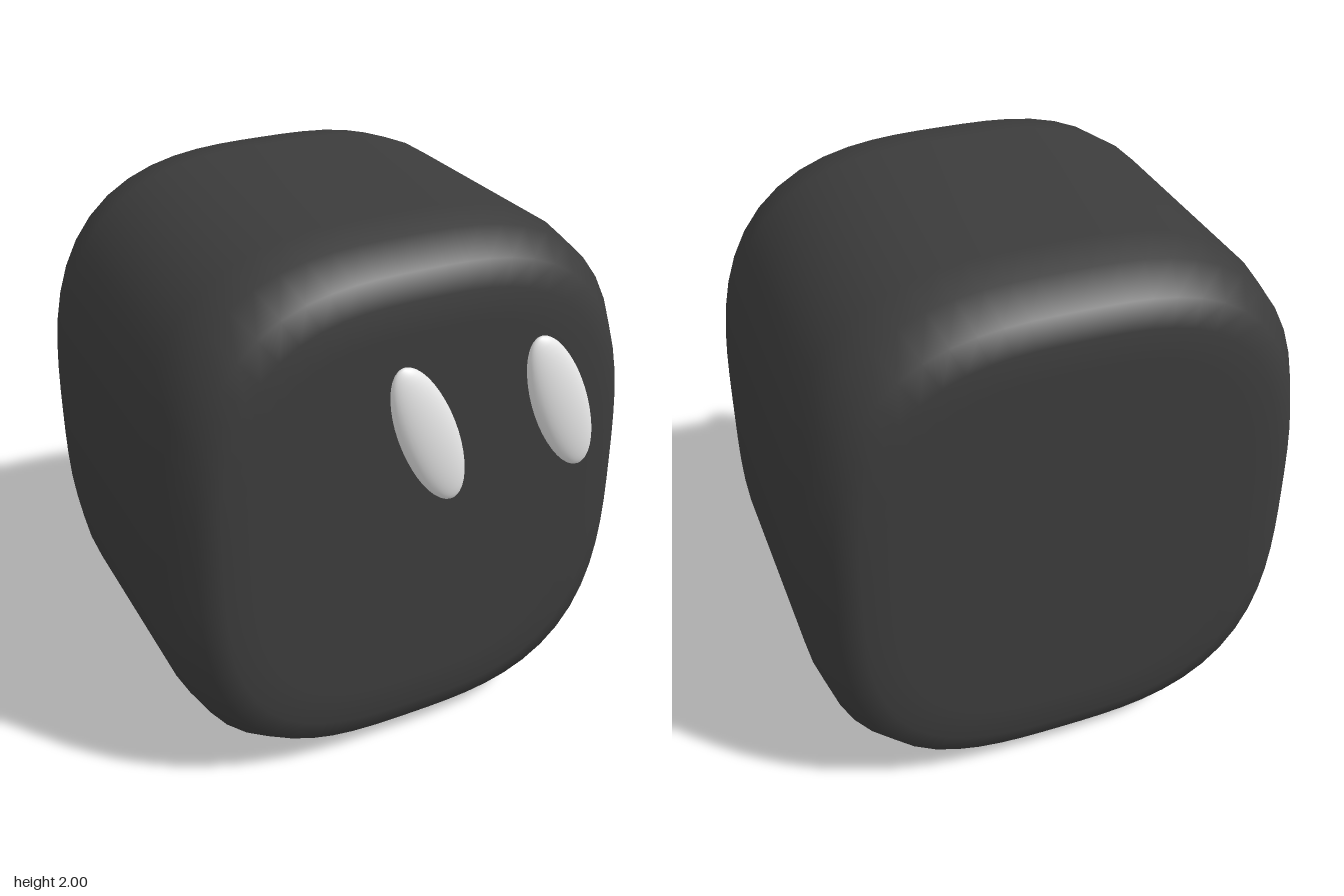
import * as THREE from 'three';

// Closed lofted block: superellipse rings stacked along z, smooth normals.
function loftBody(rings, segments, power) {
  const pos = [], idx = [];
  const signedPow = (v) => Math.sign(v) * Math.pow(Math.abs(v), 2 / power);
  for (const [z, s] of rings) {
    for (let i = 0; i < segments; i++) {
      const a = (i / segments) * Math.PI * 2;
      // direction first, then radius, so points are spread evenly
      const c = Math.cos(a), d = Math.sin(a);
      const r = Math.pow(Math.abs(c) ** power + Math.abs(d) ** power, -1 / power);
      pos.push(0.9 * s * r * c, 1 + s * r * d, z);
    }
  }
  const n = rings.length;
  for (let k = 0; k < n - 1; k++) {
    for (let i = 0; i < segments; i++) {
      const j = (i + 1) % segments;
      const a = k * segments + i, b = k * segments + j;
      const c = a + segments, d = b + segments;
      idx.push(a, c, b, b, c, d);
    }
  }
  // end caps
  const front = pos.length / 3;
  pos.push(0, 1, rings[0][0], 0, 1, rings[n - 1][0]);
  for (let i = 0; i < segments; i++) {
    const j = (i + 1) % segments, o = (n - 1) * segments;
    idx.push(front, i, j, front + 1, o + j, o + i);
  }
  const geo = new THREE.BufferGeometry();
  geo.setAttribute('position', new THREE.Float32BufferAttribute(pos, 3));
  geo.setIndex(idx);
  geo.computeVertexNormals();
  return geo;
}

export function createModel() {
  const group = new THREE.Group();
  const charcoal = new THREE.MeshStandardMaterial({ color: 0x3c3c3c });
  charcoal.name = 'charcoal';
  const white = new THREE.MeshStandardMaterial({ color: 0xffffff });
  white.name = 'white';

  // Body: flat front and back, bevel rings [inset depth, scale] at both ends
  const bevel = [[0, 0.4], [0, 0.7], [0, 0.82], [0.035, 0.905], [0.15, 0.977], [0.3, 1]];
  const rings = [
    ...bevel.map(([d, s]) => [0.63 - d, s]),
    ...bevel.map(([d, s]) => [-0.82 + d, s]).reverse(),
  ];
  const body = new THREE.Mesh(loftBody(rings, 64, 3), charcoal);
  body.name = 'body';
  group.add(body);

  // Eyes: thin slanted ellipsoids floating in front of the face
  const eyeGeo = new THREE.SphereGeometry(1, 32, 20);
  for (const [name, x] of [['rightEye', -0.07], ['leftEye', 0.436]]) {
    const eye = new THREE.Mesh(eyeGeo, white);
    eye.name = name;
    eye.scale.set(0.1, 0.28, 0.05);
    eye.rotation.z = THREE.MathUtils.degToRad(22);
    eye.position.set(x, 1.412, 0.77);
    group.add(eye);
  }
  return group;
}
